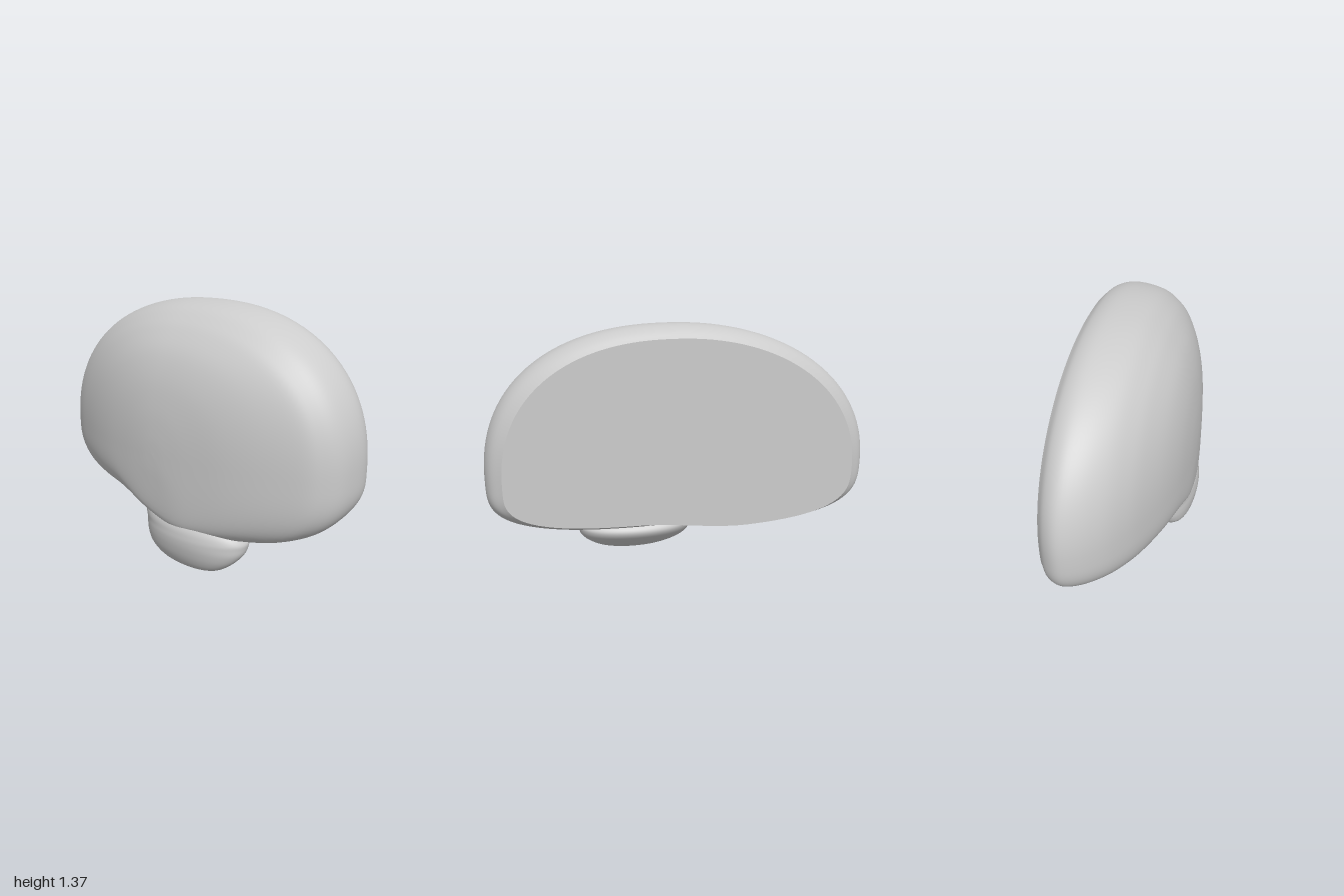
import * as THREE from 'three';

const material = new THREE.MeshStandardMaterial({ color: 0xcccccc });
const CX = 0.05, CY = 0.6; // axis of the body

// Closed loops joined into a skin; ring(u, angle) returns a point
function loft(name, rows, around, ring) {
  const pos = [], idx = [];
  for (let i = 0; i <= rows; i++) {
    for (let j = 0; j < around; j++) pos.push(...ring(i / rows, (j / around) * Math.PI * 2));
  }
  for (let i = 0; i < rows; i++) {
    for (let j = 0; j < around; j++) {
      const k = (j + 1) % around;
      const a = i * around + j, b = i * around + k, c = b + around, d = a + around;
      idx.push(a, b, c, a, c, d);
    }
  }
  const g = new THREE.BufferGeometry();
  g.setAttribute('position', new THREE.Float32BufferAttribute(pos, 3));
  g.setIndex(idx);
  g.computeVertexNormals();
  const mesh = new THREE.Mesh(g, material);
  mesh.name = name;
  return mesh;
}

// Smooth interpolation through a table of section sizes
function sections(table) {
  const spline = new THREE.CubicInterpolant(table.map((_, i) => i), table.flat(), table[0].length);
  return (u) => spline.evaluate(u * (table.length - 1));
}

// Point on a unit superellipse
function superellipse(angle, n) {
  const c = Math.cos(angle), s = Math.sin(angle);
  const r = Math.pow(Math.abs(c) ** n + Math.abs(s) ** n, -1 / n);
  return [c * r, s * r];
}

// z, left edge, right edge, top, underside at low x, underside at high x
const bodyAt = sections([
  [-0.296, -0.91, 0.91, 1.315, 0.303, 0.352],
  [-0.25, -0.972, 0.97, 1.352, 0.288, 0.335],
  [-0.18, -1.0, 0.998, 1.37, 0.278, 0.295],
  [-0.09, -0.963, 0.998, 1.362, 0.276, 0.247],
  [0.0, -0.885, 0.978, 1.335, 0.28, 0.21],
  [0.07, -0.79, 0.93, 1.288, 0.285, 0.194],
  [0.13, -0.68, 0.85, 1.23, 0.295, 0.19],
  [0.2, -0.51, 0.67, 1.13, 0.32, 0.195],
  [0.25, -0.34, 0.48, 1.0, 0.35, 0.21],
  [0.28, -0.17, 0.28, 0.85, 0.38, 0.26],
  [0.293, -0.04, 0.14, 0.71, 0.52, 0.46],
  [0.296, CX, CX, CY, CY, CY],
]);

function bodyRing(u, angle) {
  const [z, left, right, top, lowA, lowB] = bodyAt(u);
  const [c, s] = superellipse(angle, Math.sin(angle) > 0 ? (Math.cos(angle) > 0 ? 2.32 : 2.1) : 3.3);
  const x = CX + c * (c > 0 ? right - CX : CX - left);
  const low = THREE.MathUtils.lerp(lowA, lowB, THREE.MathUtils.smoothstep(x, -0.35, 0.25));
  return [x, CY + s * (s > 0 ? top - CY : CY - low), z];
}

// y, min x, max x, back z, front z
const stemAt = sections([
  [0, 0.205, 0.205, 0.195, 0.195],
  [0.01, 0.095, 0.315, 0.155, 0.224],
  [0.035, 0.005, 0.41, 0.112, 0.252],
  [0.08, -0.07, 0.478, 0.052, 0.272],
  [0.13, -0.106, 0.52, -0.006, 0.283],
  [0.17, -0.118, 0.532, -0.034, 0.286],
  [0.2, -0.12, 0.53, -0.03, 0.283],
  [0.235, -0.12, 0.495, 0.01, 0.274],
  [0.275, -0.115, 0.43, 0.06, 0.248],
  [0.34, -0.05, 0.33, 0.1, 0.2],
]);

function stemRing(u, angle) {
  const [y, x0, x1, z0, z1] = stemAt(u);
  const [c, s] = superellipse(angle, 2.1);
  return [(x0 + x1) / 2 + (c * (x1 - x0)) / 2, y, (z0 + z1) / 2 - (s * (z1 - z0)) / 2];
}

export function createModel() {
  const model = new THREE.Group();
  model.name = 'halfBean';

  // Domed body with a flat cut back
  model.add(loft('body', 55, 128, bodyRing));
  model.add(loft('flatBack', 1, 128, (u, angle) => {
    const [x, y, z] = bodyRing(0, angle);
    return [CX + (x - CX) * u, CY + (y - CY) * u, z];
  }));

  // Rounded stub under the front
  model.add(loft('stem', 36, 64, stemRing));
  return model;
}
